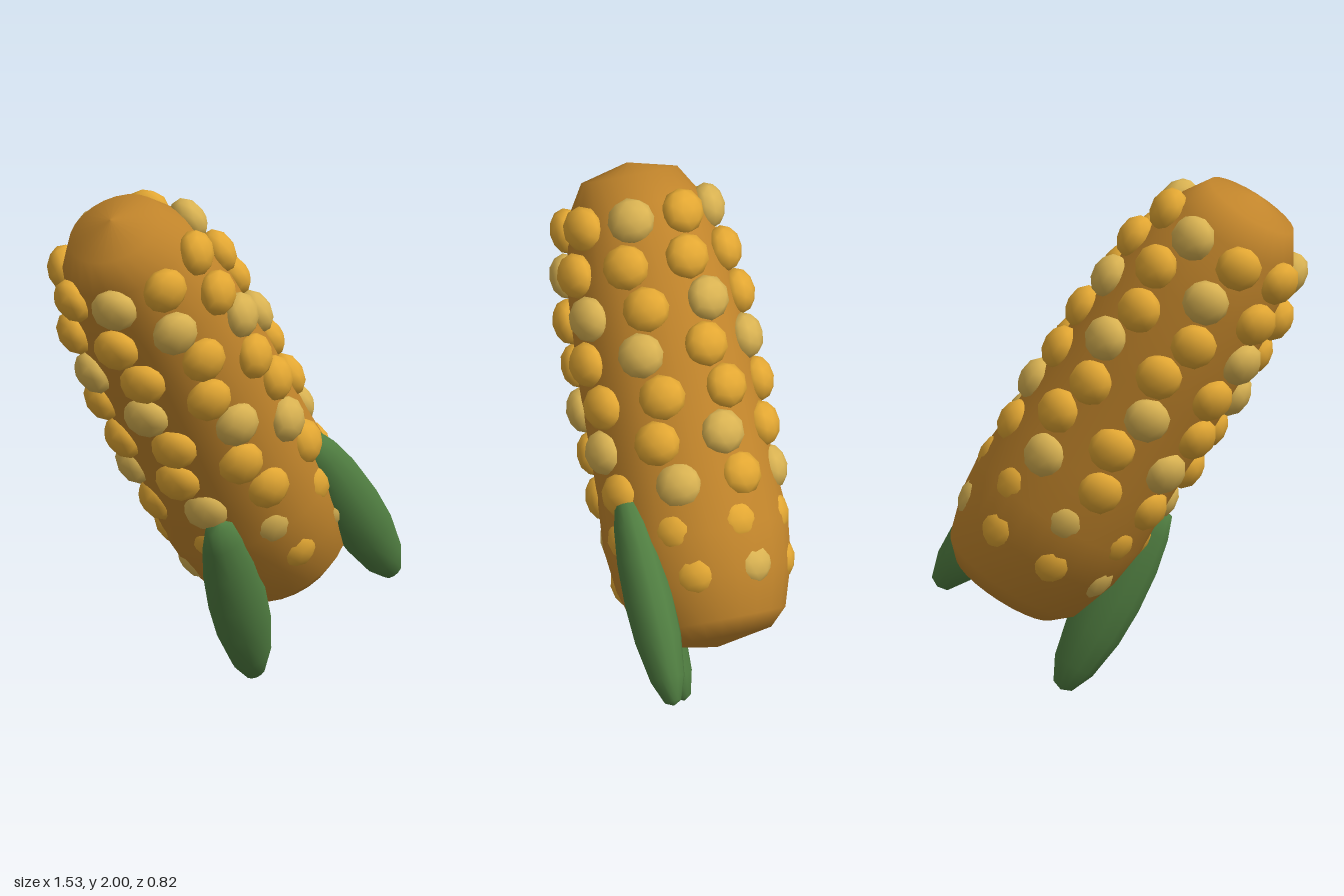
import * as THREE from 'three';

const mat = (name, color) => Object.assign(new THREE.MeshStandardMaterial({ color }), { name });
const Y = new THREE.Vector3(0, 1, 0);

// Lathe from [radius, height] pairs, listed bottom to top
const lathe = (pairs, sides) =>
  new THREE.LatheGeometry(pairs.map(([r, y]) => new THREE.Vector2(r, y)), sides);

export function createModel() {
  const model = new THREE.Group();
  model.name = 'cornCob';
  const cobMat = mat('cob brown', 0xc2852b);
  const kernelMat = mat('kernel gold', 0xe4a833);
  const paleMat = mat('pale kernel', 0xdab352);
  const leafMat = mat('husk green', 0x507e41);

  // Tilted ear, local origin at the upper pole
  const top = new THREE.Vector3(-0.59, 1.94, 0.08);
  const bottom = new THREE.Vector3(0.4, 0.36, -0.08);
  const ear = new THREE.Group();
  ear.name = 'ear';
  ear.position.copy(top);
  ear.quaternion.setFromUnitVectors(Y, top.clone().sub(bottom).normalize());
  model.add(ear);

  // Cob core
  const core = new THREE.Mesh(lathe([
    [0, -1.865], [0.218, -1.825], [0.285, -1.76], [0.338, -1.59], [0.358, -1.42],
    [0.343, -1.2], [0.335, -0.8], [0.312, -0.42], [0.255, -0.16], [0.186, -0.047], [0, 0],
  ], 24), cobMat);
  core.name = 'cob';
  ear.add(core);

  // Kernels: nine staggered rings of eight, every third one pale; local z points outward
  const kernelGeo = new THREE.IcosahedronGeometry(1, 1).rotateX(Math.PI / 2);
  const ringRadius = [0.272, 0.312, 0.325, 0.332, 0.335, 0.333, 0.324, 0.304, 0.289];
  ringRadius.forEach((radius, row) => {
    for (let col = 0; col < 8; col++) {
      const angle = THREE.MathUtils.degToRad(col * 45 + (row % 2 ? 22 : 13));
      const pale = (row + col) % 3 === 0;
      const kernel = new THREE.Mesh(kernelGeo, pale ? paleMat : kernelMat);
      kernel.name = pale ? 'paleKernel' : 'kernel';
      kernel.position.set(Math.cos(angle) * radius, -0.215 - row * 0.169, Math.sin(angle) * radius);
      kernel.rotation.y = Math.PI / 2 - angle;
      kernel.scale.set(0.09, 0.088, 0.066);
      ear.add(kernel);
    }
  });

  // Husk leaves: flattened spindles between two end points
  const leafGeo = lathe([
    [0, -1], [0.34, -0.96], [0.7, -0.74], [0.95, -0.35], [1, 0.02],
    [0.92, 0.42], [0.72, 0.75], [0.48, 0.96], [0, 1],
  ], 12);
  const addLeaf = (name, from, to, width, thickness) => {
    const a = new THREE.Vector3(...from), b = new THREE.Vector3(...to);
    const up = a.clone().sub(b);
    const leaf = new THREE.Mesh(leafGeo, leafMat);
    leaf.name = name;
    leaf.position.copy(a).add(b).multiplyScalar(0.5);
    leaf.scale.set(width, up.length() / 2, thickness);
    leaf.quaternion.setFromUnitVectors(Y, up.normalize());
    model.add(leaf);
  };
  addLeaf('rightLeaf', [-0.155, 0.7, 0.19], [0.182, 0.005, 0.005], 0.122, 0.09);
  addLeaf('leftLeaf', [0.245, 0.965, 0.245], [0.735, 0.34, 0.15], 0.118, 0.094);

  return model;
}
